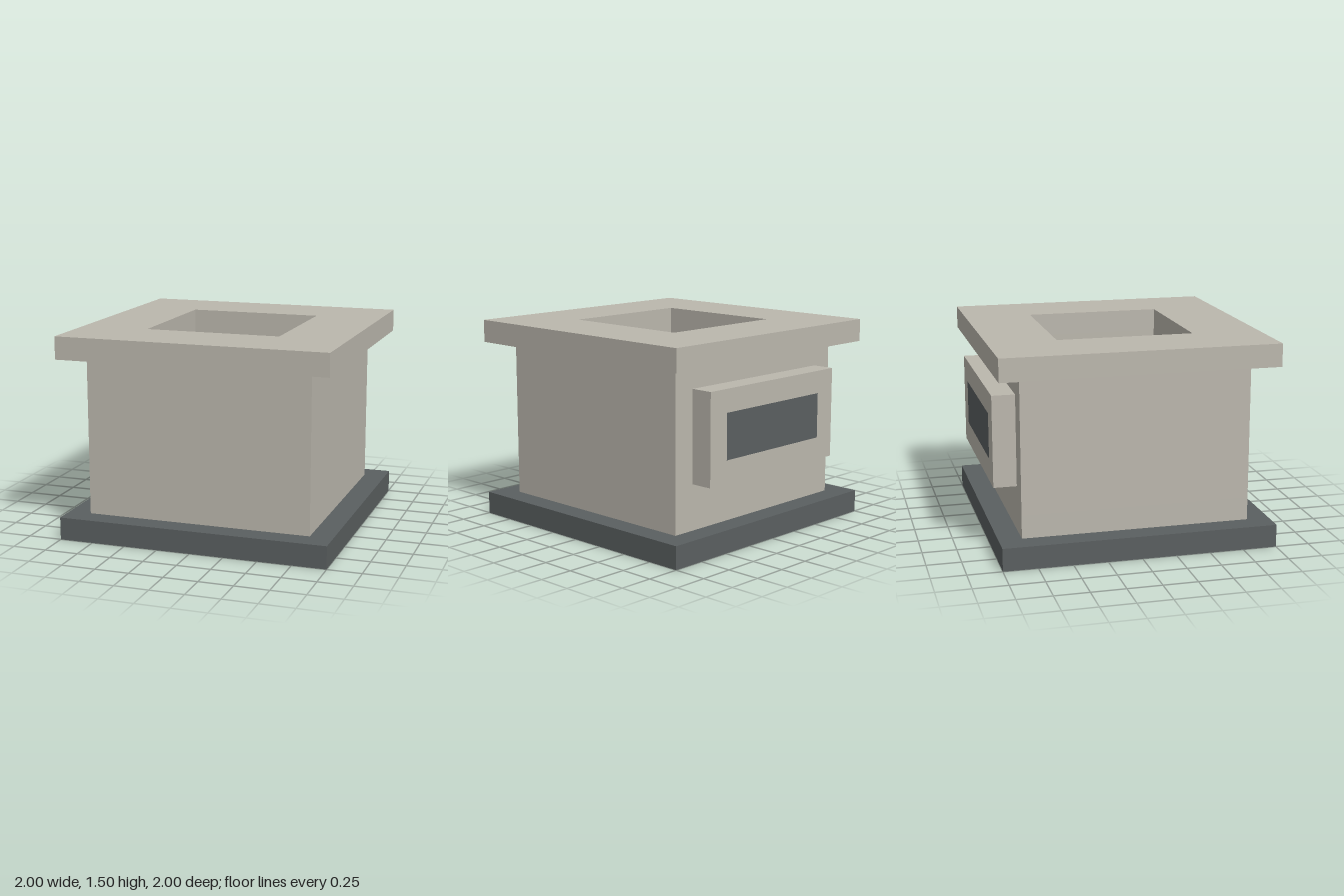
import * as THREE from 'three';

const U = 1 / 6; // modelling unit: the block is 12 units wide

const stone = new THREE.MeshStandardMaterial({ color: 0xbbb7ad });
stone.name = 'warm grey stone';
const slate = new THREE.MeshStandardMaterial({ color: 0x5a5f60 });
slate.name = 'dark slate';

// Rectangular plate with a centred rectangular hole, extruded along +z
function frameGeometry(w, h, holeW, holeH, depth) {
  const rect = (Type, a, b) => {
    const p = new Type();
    p.moveTo(-a / 2, -b / 2);
    p.lineTo(a / 2, -b / 2);
    p.lineTo(a / 2, b / 2);
    p.lineTo(-a / 2, b / 2);
    p.closePath();
    return p;
  };
  const shape = rect(THREE.Shape, w, h);
  shape.holes.push(rect(THREE.Path, holeW, holeH));
  return new THREE.ExtrudeGeometry(shape, { depth, bevelEnabled: false });
}

// Square horizontal ring between two heights
function ring(name, size, hole, y0, y1, material) {
  const g = frameGeometry(size * U, size * U, hole * U, hole * U, (y1 - y0) * U);
  g.rotateX(-Math.PI / 2);
  const mesh = new THREE.Mesh(g, material);
  mesh.position.y = y0 * U;
  mesh.name = name;
  return mesh;
}

export function createModel() {
  const model = new THREE.Group();
  model.name = 'hopper';

  // Stacked square parts: base with drain, floor, walls and overhanging rim
  model.add(
    ring('base', 12, 2, 0, 1, slate),
    ring('floor', 10, 2, 1, 2, stone),
    ring('walls', 10, 6, 2, 8, stone),
    ring('rim', 12, 6, 8, 9, stone),
  );

  // Raised panel on the back with a flush dark window
  const panel = new THREE.Group();
  panel.name = 'backPanel';
  panel.position.set(0, 5 * U, -6 * U);
  const frame = new THREE.Mesh(frameGeometry(8 * U, 4 * U, 6 * U, 2 * U, U), stone);
  frame.name = 'panelFrame';
  const pane = new THREE.Mesh(new THREE.PlaneGeometry(6 * U, 2 * U), slate);
  pane.name = 'panelWindow';
  pane.rotation.y = Math.PI;
  panel.add(frame, pane);
  model.add(panel);

  return model;
}
